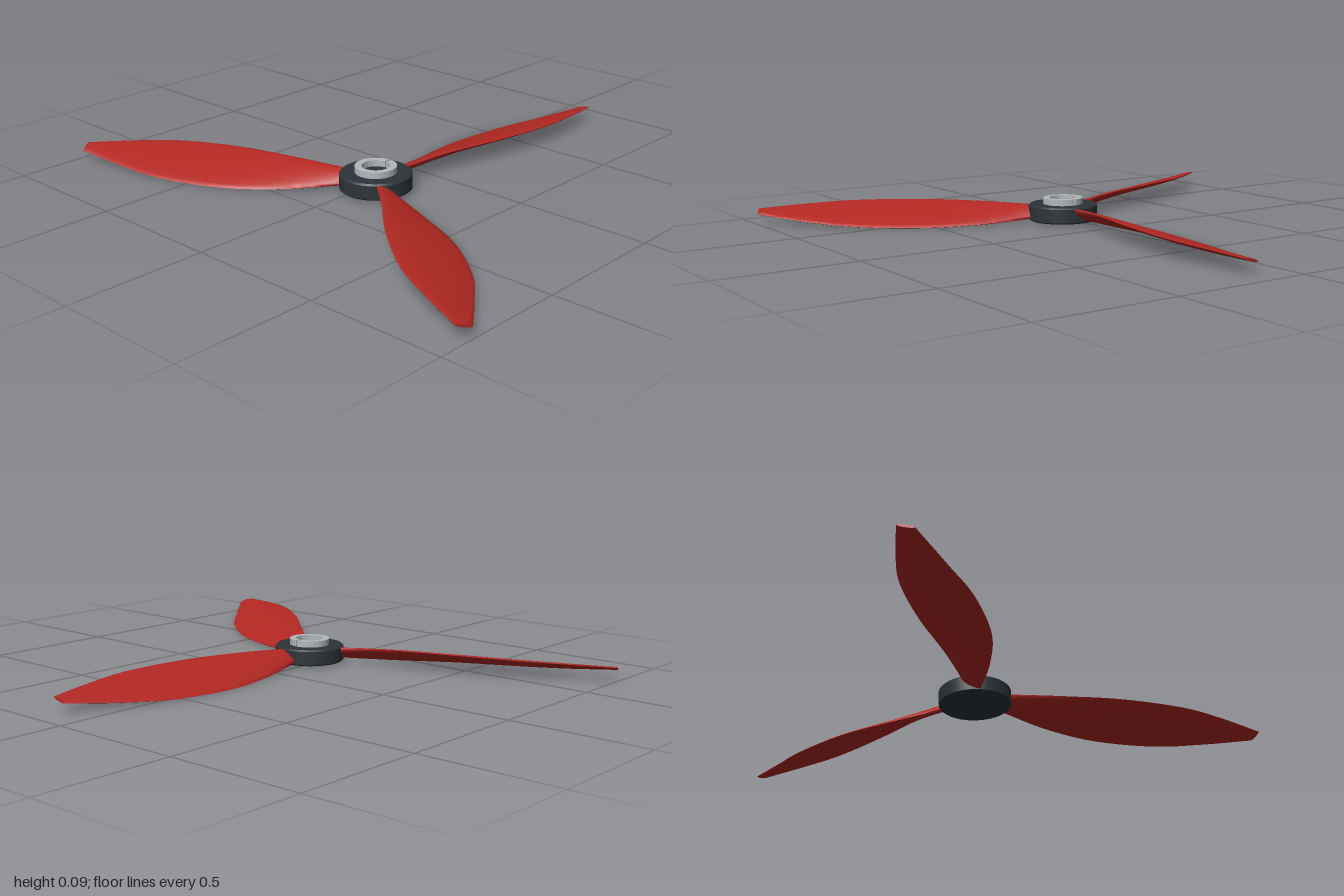
import * as THREE from 'three';
import { toCreasedNormals } from 'three/addons/utils/BufferGeometryUtils.js';

const HUB_X = -0.24, HUB_Z = 0.04;
const red = new THREE.MeshStandardMaterial({ color: 0xb32823 });
const dark = new THREE.MeshStandardMaterial({ color: 0x2c3338 });
const grey = new THREE.MeshStandardMaterial({ color: 0xb4b8ba });

// Blade stations: radius, back edge z, front edge z, mid height, half rise, half thickness
const STATIONS = [
  [0.05, -0.022, 0.022, 0.048, 0.018, 0.013],
  [0.13, -0.034, 0.034, 0.048, 0.022, 0.013],
  [0.32, -0.08, 0.075, 0.047, 0.033, 0.012],
  [0.54, -0.106, 0.128, 0.047, 0.036, 0.011],
  [0.78, -0.075, 0.157, 0.047, 0.032, 0.010],
  [0.96, -0.012, 0.143, 0.049, 0.022, 0.008],
  [1.14, 0.06, 0.114, 0.053, 0.007, 0.005],
];

function bladeGeometry(steps = 48, sides = 24) {
  const guide = f => new THREE.CatmullRomCurve3(STATIONS.map(f), false, 'catmullrom', 0.5);
  const back = guide(([r, b, f, y, h]) => new THREE.Vector3(r, y - h, b));
  const front = guide(([r, b, f, y, h]) => new THREE.Vector3(r, y + h, f));
  const thick = guide(([r, b, f, y, h, t]) => new THREE.Vector3(r, t, 0));
  const pos = [], idx = [];
  const xAxis = new THREE.Vector3(1, 0, 0);

  // Elliptical sections stretched between the two edges
  for (let i = 0; i <= steps; i++) {
    const t = i / steps;
    const p = back.getPoint(t), q = front.getPoint(t), th = thick.getPoint(t).y;
    const mid = p.clone().add(q).multiplyScalar(0.5);
    const half = q.clone().sub(mid);
    const up = half.clone().cross(xAxis).normalize();
    for (let j = 0; j < sides; j++) {
      const a = (j / sides) * Math.PI * 2;
      const v = mid.clone().addScaledVector(half, Math.cos(a)).addScaledVector(up, th * Math.sin(a));
      pos.push(v.x, v.y, v.z);
    }
  }
  for (let i = 0; i < steps; i++) {
    for (let j = 0; j < sides; j++) {
      const k = (j + 1) % sides, a = i * sides, b = a + sides;
      idx.push(a + j, b + j, a + k, b + j, b + k, a + k);
    }
  }
  // Flat caps at root and tip
  for (const ring of [0, steps]) {
    const s = ring * sides;
    for (let j = 1; j < sides - 1; j++) {
      if (ring) idx.push(s, s + j + 1, s + j);
      else idx.push(s, s + j, s + j + 1);
    }
  }
  const g = new THREE.BufferGeometry();
  g.setAttribute('position', new THREE.Float32BufferAttribute(pos, 3));
  g.setIndex(idx);
  return toCreasedNormals(g, 1.0);
}

// Split ring lying flat, with a narrow slit facing +x
function splitRingGeometry(inner, outer, height, slit) {
  const s = new THREE.Shape();
  const a = slit / outer, b = slit / inner;
  s.absarc(0, 0, outer, a, Math.PI * 2 - a, false);
  s.absarc(0, 0, inner, Math.PI * 2 - b, b, true);
  s.closePath();
  const g = new THREE.ExtrudeGeometry(s, { depth: height, bevelEnabled: false, curveSegments: 48 });
  g.rotateX(-Math.PI / 2);
  return toCreasedNormals(g, 0.6);
}

export function createModel() {
  const model = new THREE.Group();
  model.name = 'propeller';
  const add = (name, geometry, material) => {
    const mesh = new THREE.Mesh(geometry, material);
    mesh.name = name;
    mesh.position.set(HUB_X, 0, HUB_Z);
    model.add(mesh);
    return mesh;
  };

  // Three blades around the hub
  const blade = bladeGeometry();
  for (let i = 0; i < 3; i++) {
    add('blade' + (i + 1), blade, red).rotation.y = (i * Math.PI * 2) / 3;
  }

  // Hub disc with slightly bevelled rims
  const profile = [[0, 0.016], [0.124, 0.016], [0.13, 0.021], [0.13, 0.071], [0.124, 0.077], [0, 0.077]]
    .map(([x, y]) => new THREE.Vector2(x, y));
  add('hub', toCreasedNormals(new THREE.LatheGeometry(profile, 64), 0.5), dark);

  // Metal collar on top of the hub
  const collar = add('collar', splitRingGeometry(0.05, 0.075, 0.026, 0.003), grey);
  collar.position.y = 0.074;

  return model;
}
